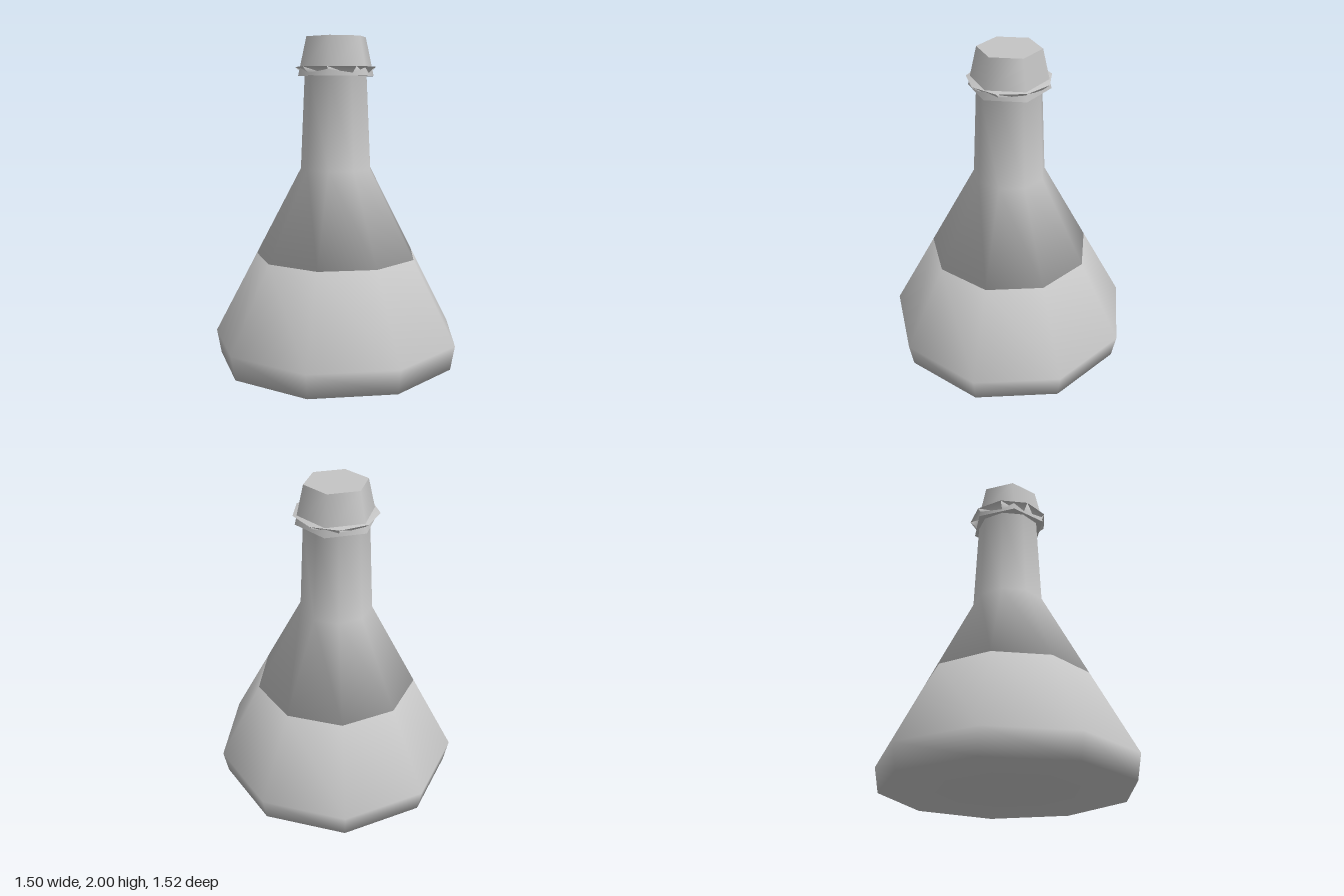
import * as THREE from 'three';

const greyMaterial = new THREE.MeshStandardMaterial({ color: 0xc4c4c4 });
greyMaterial.name = 'plain grey';

// A closed nine-sided solid from a [radius, height] profile, with one corner facing +x.
function turned(name, profile) {
  const points = profile.map(([r, y]) => new THREE.Vector2(r, y));
  const mesh = new THREE.Mesh(new THREE.LatheGeometry(points, 9, Math.PI / 2), greyMaterial);
  mesh.name = name;
  return mesh;
}

export function createModel() {
  const flask = new THREE.Group();
  flask.name = 'flask';

  // Filled lower body with a small chamfer above the base
  flask.add(turned('liquidBody', [[0, 0], [0.746, 0], [0.773, 0.15], [0.505, 0.66], [0, 0.66]]));

  // Sloping shoulder, long neck and flared lip
  flask.add(turned('shoulderAndNeck', [
    [0, 0.66], [0.505, 0.66], [0.222, 1.2], [0.195, 1.77], [0.253, 1.82], [0, 1.82],
  ]));

  // Six-sided tapered stopper, wider at its lower end
  const stopper = new THREE.Mesh(
    new THREE.CylinderGeometry(0.189, 0.242, 0.235, 6, 1, false, Math.PI / 2), greyMaterial);
  stopper.name = 'stopper';
  stopper.position.y = 2 - 0.235 / 2;
  flask.add(stopper);

  // Odd-sided body: shift so that its width is centred
  flask.children.forEach((part) => { part.position.x = -0.0235; });
  return flask;
}
